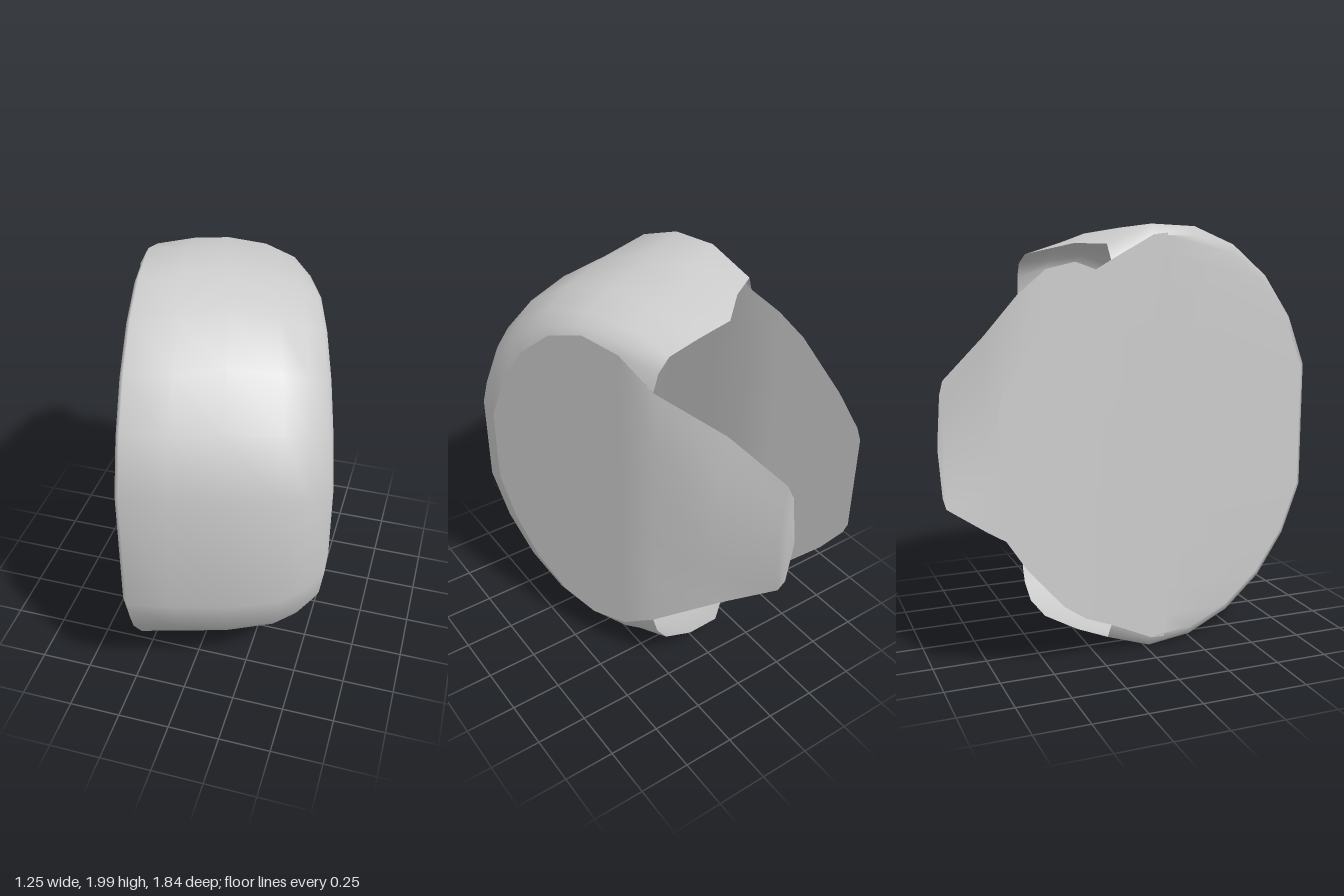
import * as THREE from 'three';

const material = new THREE.MeshStandardMaterial({ color: 0xcccccc, side: THREE.DoubleSide });

// Skin a grid of points (rows of equal length) into a smooth surface.
function skin(name, rows, flip = false) {
  const n = rows[0].length;
  const index = [];
  for (let i = 0; i < rows.length - 1; i++) {
    for (let j = 0; j < n - 1; j++) {
      const a = i * n + j, b = a + 1, c = a + n, d = c + 1;
      if (flip) index.push(a, c, b, b, c, d);
      else index.push(a, b, c, b, d, c);
    }
  }
  const geometry = new THREE.BufferGeometry();
  geometry.setAttribute('position', new THREE.Float32BufferAttribute(rows.flat(2), 3));
  geometry.setIndex(index);
  geometry.computeVertexNormals();
  const mesh = new THREE.Mesh(geometry, material);
  mesh.name = name;
  return mesh;
}

// Piecewise linear x along z; knots run from front to back.
function along(knots, z) {
  for (let i = 0; i < knots.length - 1; i++) {
    const [z0, x0] = knots[i], [z1, x1] = knots[i + 1];
    if (z >= z1 || i === knots.length - 2) return x0 + (x1 - x0) * (z - z0) / (z1 - z0);
  }
}

// Rings of the band from the left rim to the right shoulder:
// x at z = 0, slope of x along z, centre z, front z, half height, rear end z,
// and the roundness of the front and rear quarters
const rings = [
  { x0: -0.375, s: 0.17, zc: 0.1, front: 0.89, ry: 0.955, end: -0.19, p: 1, rear: 2 },
  { x0: -0.35, s: 0.165, zc: 0.1, front: 0.917, ry: 1.0, end: -0.2, p: 1, rear: 1.5 },
  { x0: -0.175, s: 0.20, zc: 0.05, front: 0.875, ry: 0.985, end: -0.30, p: 1, rear: 0.9 },
  { x0: 0.01, s: 0.27, zc: 0.02, front: 0.82, ry: 0.97, end: -0.42, p: 1, rear: 0.65 },
  { x0: 0.22, s: 0.33, zc: -0.03, front: 0.73, ry: 0.93, end: -0.44, p: 1, rear: 0.55 },
  { x0: 0.35, s: 0.31, zc: -0.06, front: 0.655, ry: 0.88, end: -0.43, p: 1.05, rear: 0.6 },
  { x0: 0.42, s: 0.36, zc: -0.08, front: 0.56, ry: 0.84, end: -0.425, p: 1.15, rear: 0.8 },
  { x0: 0.445, s: 0.37, zc: -0.1, front: 0.47, ry: 0.81, end: -0.42, p: 1.25, rear: 1.25 },
];
const STEPS = 6;
const START = Math.PI / 10;
const CREASE = 0.1; // z of the upright crease in the -x side

// Half outline of a ring as [z, height from the middle], front to back.
function halfRing({ zc, front, ry, end, p, rear }) {
  const rz = (front - zc) / Math.cos(START);
  const stop = Math.acos((end - zc) / rz);
  return Array.from({ length: STEPS + 1 }, (_, i) => {
    const t = START + (stop - START) * i / STEPS;
    return [zc + rz * Math.cos(t), ry * Math.sin(t) ** (t > Math.PI / 2 ? rear : p)];
  });
}

// Upright plate whose half height follows an outline, with x given by a rule.
function plate(name, outline, xAt, flip) {
  const rows = outline.map(([z, h]) =>
    [-1, -0.6, -0.2, 0.2, 0.6, 1].map((k) => [xAt(z, k * h), 1 + k * h, z]));
  return skin(name, rows, flip);
}

export function createModel() {
  const group = new THREE.Group();
  group.name = 'curvedShell';

  // Rounded band with the front half of its -x side, blended smoothly over the rim
  const halves = rings.map(halfRing);
  const frontSide = halves[0].map(([z, h]) => [Math.min(z, CREASE), h]);
  const bandRows = [frontSide, ...halves].map((half, i) => {
    const { x0, s } = rings[Math.max(i - 1, 0)];
    const point = (sign) => ([z, h]) => [x0 + s * z, 1 + sign * h, z];
    return [...half.map(point(-1)).reverse(), ...half.map(point(1))];
  });
  group.add(skin('band', bandRows));

  // Rear half of the -x side, flaring outward behind the band
  const leftKnots = [[CREASE, -0.358], [-0.19, -0.407], [-0.76, -0.625]];
  const rearLeft = [[-0.33, 0.77], [-0.45, 0.68], [-0.64, 0.46], [-0.74, 0.31], [-0.76, 0.25]];
  const leftOutline = [[CREASE, rings[0].ry], ...halves[0].filter(([z]) => z < CREASE), ...rearLeft];
  group.add(plate('outerSidePlate', leftOutline, (z) => along(leftKnots, z), false));

  // Smaller side plate on the +x side, curling inward behind the band
  const rightKnots = [[0.47, 0.619], [-0.42, 0.29], [-0.88, -0.065], [-0.92, -0.12]];
  const rearRight = [[-0.65, 0.48], [-0.88, 0.3], [-0.9, 0.24], [-0.918, 0.02]];
  const rightX = (z, h) => along(rightKnots, z) - (z < -0.425 ? 0.2 * h * h : 0);
  group.add(plate('innerSidePlate', [...halves[rings.length - 1], ...rearRight], rightX, true));

  return group;
}
